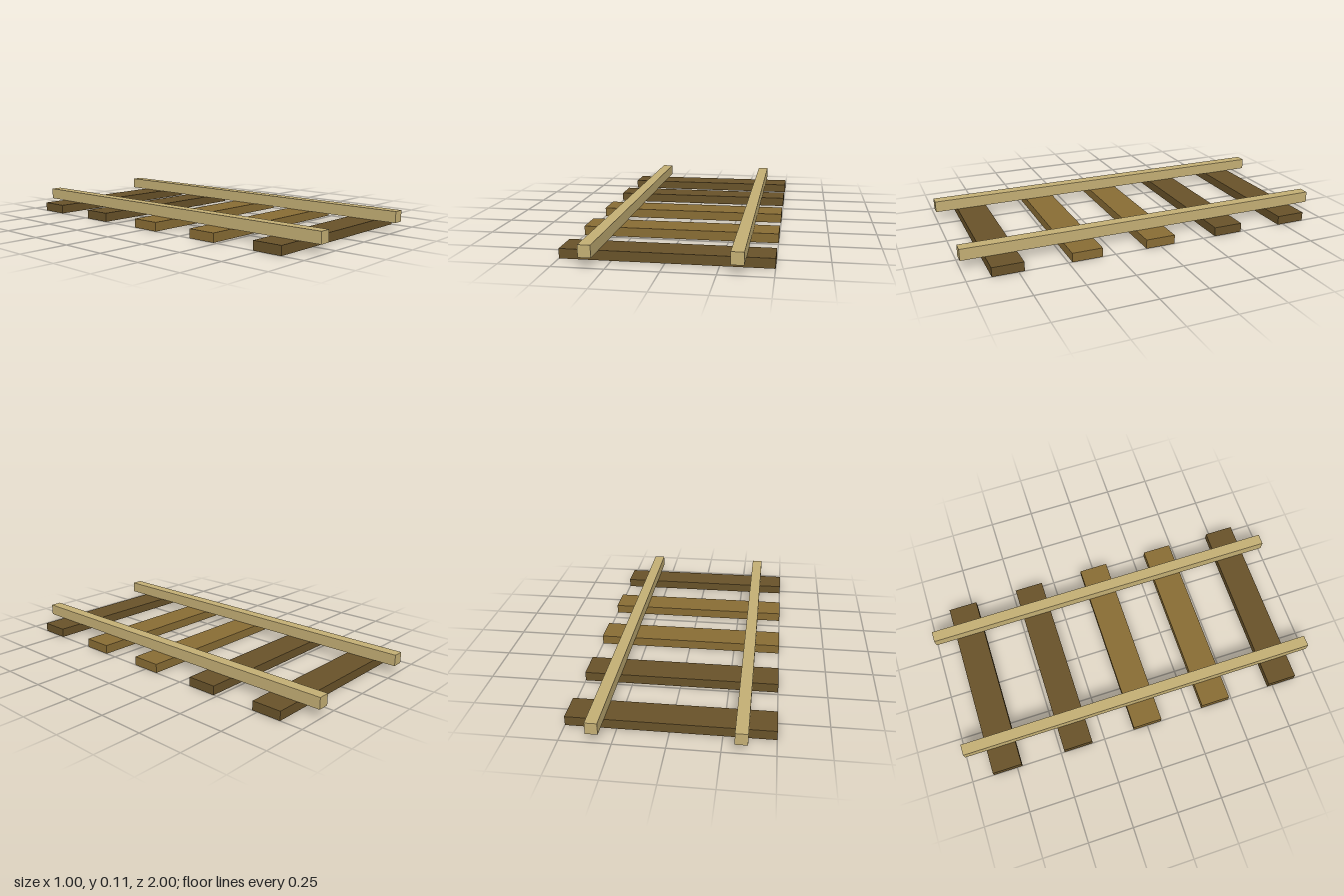
import * as THREE from 'three';

export function createModel() {
  const group = new THREE.Group();
  const paleWood = new THREE.MeshStandardMaterial({ color: 0xc3ae74 });
  const darkWood = new THREE.MeshStandardMaterial({ color: 0x685229 });
  const midWood = new THREE.MeshStandardMaterial({ color: 0x886c34 });

  function beam(name, size, position, material) {
    const mesh = new THREE.Mesh(new THREE.BoxGeometry(...size), material);
    mesh.name = name;
    mesh.position.set(...position);
    group.add(mesh);
  }

  // Cross planks, back to front
  const plankHeight = 0.048;
  [darkWood, darkWood, midWood, midWood, darkWood].forEach((wood, i) => {
    beam('crossPlank' + (i + 1), [1, plankHeight, 0.16], [0, plankHeight / 2, (i - 2) * 0.4], wood);
  });

  // Rails resting on the planks
  const rail = 0.06;
  for (const [name, side] of [['leftRail', 1], ['rightRail', -1]]) {
    beam(name, [rail, rail, 2], [side * 0.34, plankHeight + rail / 2, 0], paleWood);
  }

  return group;
}
